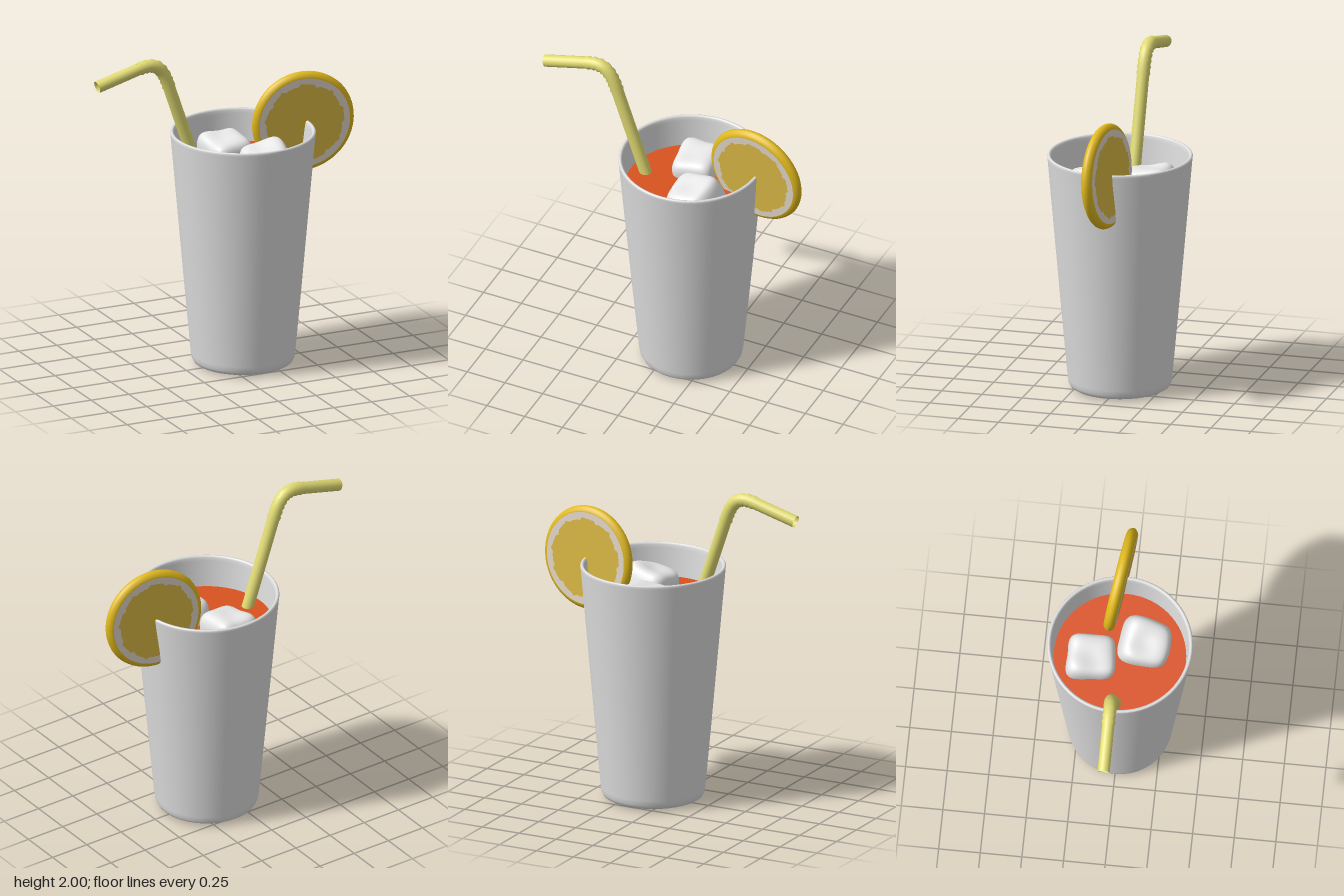
import * as THREE from 'three';
import { mergeVertices } from 'three/addons/utils/BufferGeometryUtils.js';

const mat = (name, color, side = THREE.FrontSide) => {
  const m = new THREE.MeshStandardMaterial({ color, side });
  m.name = name;
  return m;
};

const v2 = (pairs) => pairs.map(([x, y]) => new THREE.Vector2(x, y));
const v3 = (x, y) => new THREE.Vector3(x, y, 0);

export function createModel() {
  const root = new THREE.Group();
  root.name = 'drink';
  const cupWhite = mat('cup white', 0xdedede);
  const iceWhite = mat('ice white', 0xf0f0f0);
  const juice = mat('juice orange', 0xd9521f);
  const strawYellow = mat('straw yellow', 0xe0da72, THREE.DoubleSide);
  const rindYellow = mat('rind yellow', 0xe0b91c);
  const pithCream = mat('pith cream', 0xe2d6c8);
  const fleshYellow = mat('flesh yellow', 0xdab845);

  const add = (parent, name, geometry, material) => {
    const mesh = new THREE.Mesh(geometry, material);
    mesh.name = name;
    parent.add(mesh);
    return mesh;
  };

  // Cup and its contents share one axis
  const glass = new THREE.Group();
  glass.name = 'cupGroup';
  glass.position.x = 0.125;
  root.add(glass);

  add(glass, 'cup', new THREE.LatheGeometry(v2([
    [0, 0], [0.16, 0.002], [0.25, 0.008], [0.283, 0.012], [0.299, 0.022], [0.308, 0.04], [0.313, 0.07],
    [0.35, 0.48], [0.393, 0.97], [0.434, 1.44], [0.436, 1.452], [0.432, 1.459], [0.425, 1.461],
    [0.418, 1.459], [0.413, 1.45], [0.411, 1.43], [0.371, 0.97], [0.292, 0.08], [0.27, 0.05], [0, 0.05],
  ]), 64), cupWhite);

  const drink = add(glass, 'juiceSurface', new THREE.CylinderGeometry(0.399, 0.396, 0.03, 64), juice);
  drink.position.y = 1.245;

  // Ice: rounded cubes with pinched, slightly lumpy sides
  const iceGeometry = (w, h, d, phase) => {
    let g = new THREE.BoxGeometry(2, 2, 2, 14, 14, 14);
    g.deleteAttribute('uv');
    g.deleteAttribute('normal');
    g = mergeVertices(g);
    const p = g.attributes.position;
    const v = new THREE.Vector3();
    for (let i = 0; i < p.count; i++) {
      v.fromBufferAttribute(p, i);
      const n = 4.5;
      const r = (Math.abs(v.x) ** n + Math.abs(v.y) ** n + Math.abs(v.z) ** n) ** (1 / n);
      v.divideScalar(r);
      const pinch = 1 - 0.12 * Math.cos(v.x * 1.6) * Math.cos(v.z * 1.6);
      const lump = 1 + 0.05 * Math.sin(3 * v.x + phase) * Math.cos(2.5 * v.z - phase) + 0.04 * Math.sin(3 * v.y + phase);
      v.multiplyScalar(pinch * lump);
      p.setXYZ(i, v.x * w / 2, v.y * h / 2, v.z * d / 2);
    }
    g.computeVertexNormals();
    return g;
  };
  const ice = [
    { size: [0.26, 0.28, 0.28], at: [-0.035, 1.255, -0.175], turn: [0.12, 0.08, 0.05], phase: 0.6 },
    { size: [0.28, 0.28, 0.29], at: [0.095, 1.265, 0.14], turn: [0.2, -0.12, 0.25], phase: 2.1 },
  ];
  ice.forEach(({ size, at, turn, phase }, i) => {
    const cube = add(glass, `iceCube${i + 1}`, iceGeometry(...size, phase), iceWhite);
    cube.position.set(...at);
    cube.rotation.set(...turn);
  });

  // Straw: two straight tubes joined by a ridged bend
  const straw = new THREE.Group();
  straw.name = 'straw';
  root.add(straw);
  const R = 0.037;
  const low = v3(-0.362, 1.8), high = v3(-0.57, 1.948);
  add(straw, 'strawStem', new THREE.TubeGeometry(new THREE.LineCurve3(v3(0.2, 0.15), low), 4, R, 20), strawYellow);
  add(straw, 'strawTip', new THREE.TubeGeometry(new THREE.LineCurve3(high, v3(-0.84, 1.875)), 2, R, 20), strawYellow);
  const bend = new THREE.CubicBezierCurve3(low, v3(-0.41, 1.945), v3(-0.45, 1.98), high);
  const segs = 72, sides = 20, ridges = 8;
  const bellows = new THREE.TubeGeometry(bend, segs, R, sides);
  const bp = bellows.attributes.position;
  for (let i = 0; i <= segs; i++) {
    const c = bend.getPointAt(i / segs);
    const k = 1 + 0.13 * Math.sin(Math.PI * ridges * i / segs) ** 2;
    for (let j = 0; j <= sides; j++) {
      const n = i * (sides + 1) + j;
      const q = new THREE.Vector3().fromBufferAttribute(bp, n).sub(c).multiplyScalar(k).add(c);
      bp.setXYZ(n, q.x, q.y, q.z);
    }
  }
  add(straw, 'strawBend', bellows, strawYellow);

  // Citrus slice perched on the rim
  const slice = new THREE.Group();
  slice.name = 'citrusSlice';
  slice.position.set(0.54, 1.45, -0.038);
  slice.rotation.set(0.06, -0.14, 0);
  root.add(slice);
  const h = 0.034;
  const rind = add(slice, 'rind', new THREE.LatheGeometry(v2([
    [0, -h], [0.28, -h], [0.294, -h * 0.92], [0.307, -h * 0.66], [0.315, -h * 0.34], [0.318, 0],
    [0.315, h * 0.34], [0.307, h * 0.66], [0.294, h * 0.92], [0.28, h], [0, h],
  ]), 64), rindYellow);
  rind.rotation.x = Math.PI / 2;

  // Closed outline with an irregular radius
  const blob = (r, wobble, count) => {
    const pts = [];
    for (let i = 0; i < count; i++) {
      const a = i / count * Math.PI * 2;
      const k = r + wobble * (0.6 * Math.sin(9 * a) + 0.4 * Math.sin(23 * a + 1) + 0.35 * Math.sin(37 * a + 2));
      pts.push(new THREE.Vector2(Math.cos(a) * k, Math.sin(a) * k));
    }
    return new THREE.ShapeGeometry(new THREE.Shape(pts));
  };
  for (const [side, turn] of [['front', 0], ['back', Math.PI]]) {
    const face = new THREE.Group();
    face.name = `${side}Face`;
    face.rotation.y = turn;
    slice.add(face);
    add(face, 'pith', new THREE.CircleGeometry(0.284, 64), pithCream).position.z = h + 0.002;
    add(face, 'flesh', blob(0.243, 0.01, 120), fleshYellow).position.z = h + 0.004;
    add(face, 'core', blob(0.024, 0.014, 60), rindYellow).position.z = h + 0.006;
  }
  return root;
}
